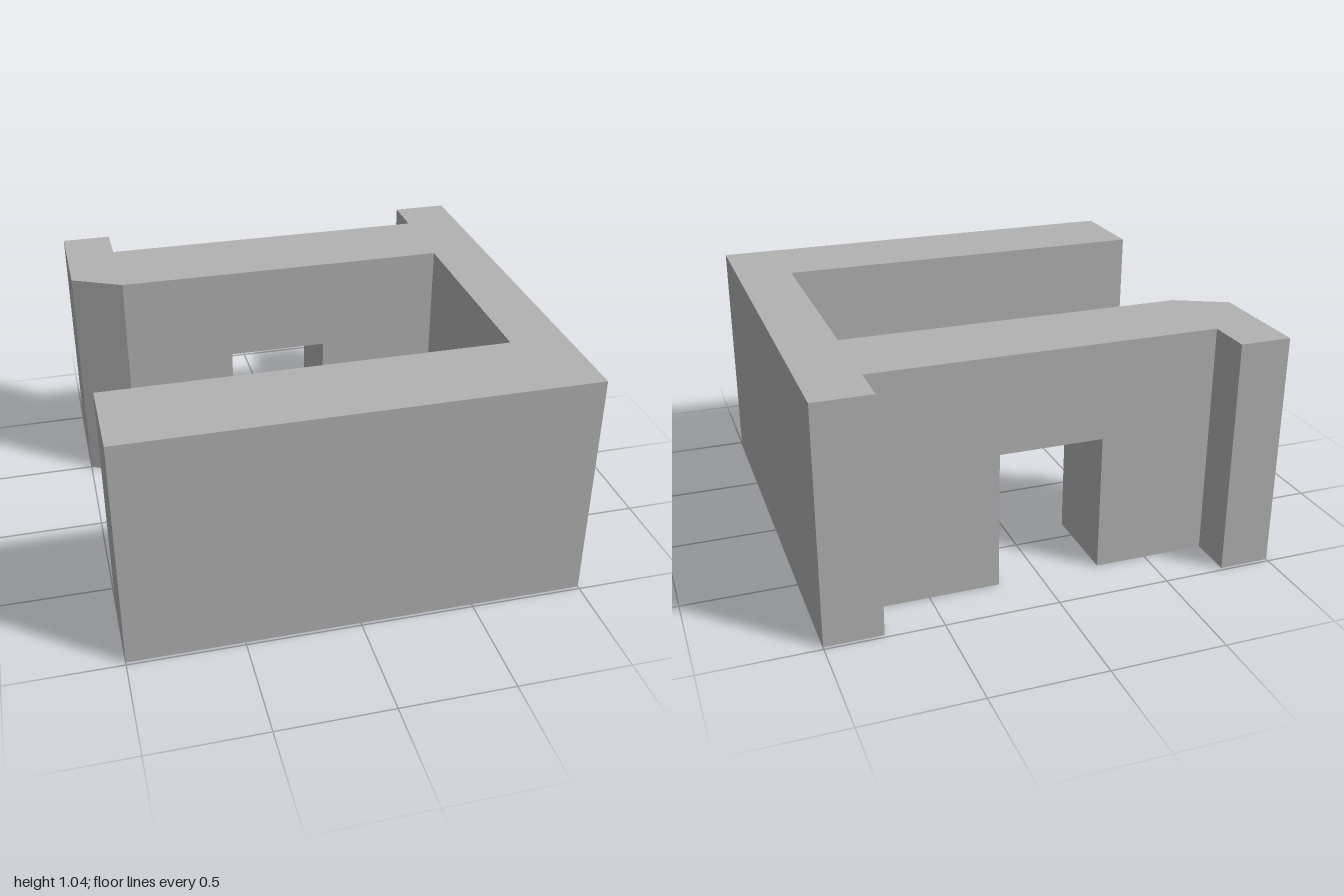
import * as THREE from 'three';
import { mergeGeometries } from 'three/addons/utils/BufferGeometryUtils.js';

const HEIGHT = 1.045;
const DOOR = { left: 0.19, right: -0.27, height: 0.615 };
const BACK_OUT = -0.785, BACK_IN = -0.39;

// Upright walls along a plan outline of [x, z] points, with an optional flat top
function shell(outline, y0, y1, { closed = false, top = true } = {}) {
  const parts = [];
  const count = closed ? outline.length : outline.length - 1;
  for (let i = 0; i < count; i++) {
    const [ax, az] = outline[i];
    const [bx, bz] = outline[(i + 1) % outline.length];
    const face = new THREE.PlaneGeometry(Math.hypot(bx - ax, bz - az), y1 - y0);
    face.rotateY(Math.atan2(az - bz, bx - ax));
    face.translate((ax + bx) / 2, (y0 + y1) / 2, (az + bz) / 2);
    parts.push(face);
  }
  if (top) {
    const cap = new THREE.ShapeGeometry(
      new THREE.Shape(outline.map(([x, z]) => new THREE.Vector2(x, -z))));
    parts.push(cap.rotateX(-Math.PI / 2).translate(0, y1, 0));
  }
  return mergeGeometries(parts);
}

export function createModel() {
  const group = new THREE.Group();
  const plaster = new THREE.MeshStandardMaterial({ color: 0xb2b2b2, side: THREE.DoubleSide });
  plaster.name = 'grey plaster';

  const add = (name, geometry) => {
    const mesh = new THREE.Mesh(geometry, plaster);
    mesh.name = name;
    group.add(mesh);
  };

  // Side wall running the full depth; all walls are hollow and open underneath
  add('sideWall', shell(
    [[0.75, 0.985], [1, 0.985], [1, -0.985], [0.75, -0.985]], 0, HEIGHT, { closed: true }));

  // Front wall, joined to the side wall
  add('frontWall', shell(
    [[0.75, 0.58], [-1, 0.58], [-1, 0.985], [0.75, 0.985]], 0, HEIGHT));

  // Back wall ends in a pillar with a bevelled inner corner
  const pillar = [[-0.775, BACK_OUT], [-0.775, -0.985], [-1, -0.985], [-1, -0.5], [-0.775, BACK_IN]];
  add('backWallUpper', shell(
    [[0.75, BACK_OUT], ...pillar, [0.75, BACK_IN]], DOOR.height, HEIGHT));

  // Lower back wall on either side of the doorway
  add('backWallLowerLeft', shell(
    [[0.75, BACK_OUT], [DOOR.left, BACK_OUT], [DOOR.left, BACK_IN], [0.75, BACK_IN]],
    0, DOOR.height, { top: false }));
  add('backWallLowerRight', shell(
    [[DOOR.right, BACK_OUT], ...pillar, [DOOR.right, BACK_IN]],
    0, DOOR.height, { closed: true, top: false }));

  // Underside of the lintel
  const lintel = new THREE.PlaneGeometry(DOOR.left - DOOR.right, BACK_IN - BACK_OUT);
  lintel.rotateX(Math.PI / 2);
  lintel.translate((DOOR.left + DOOR.right) / 2, DOOR.height, (BACK_IN + BACK_OUT) / 2);
  add('doorwayCeiling', lintel);

  return group;
}
